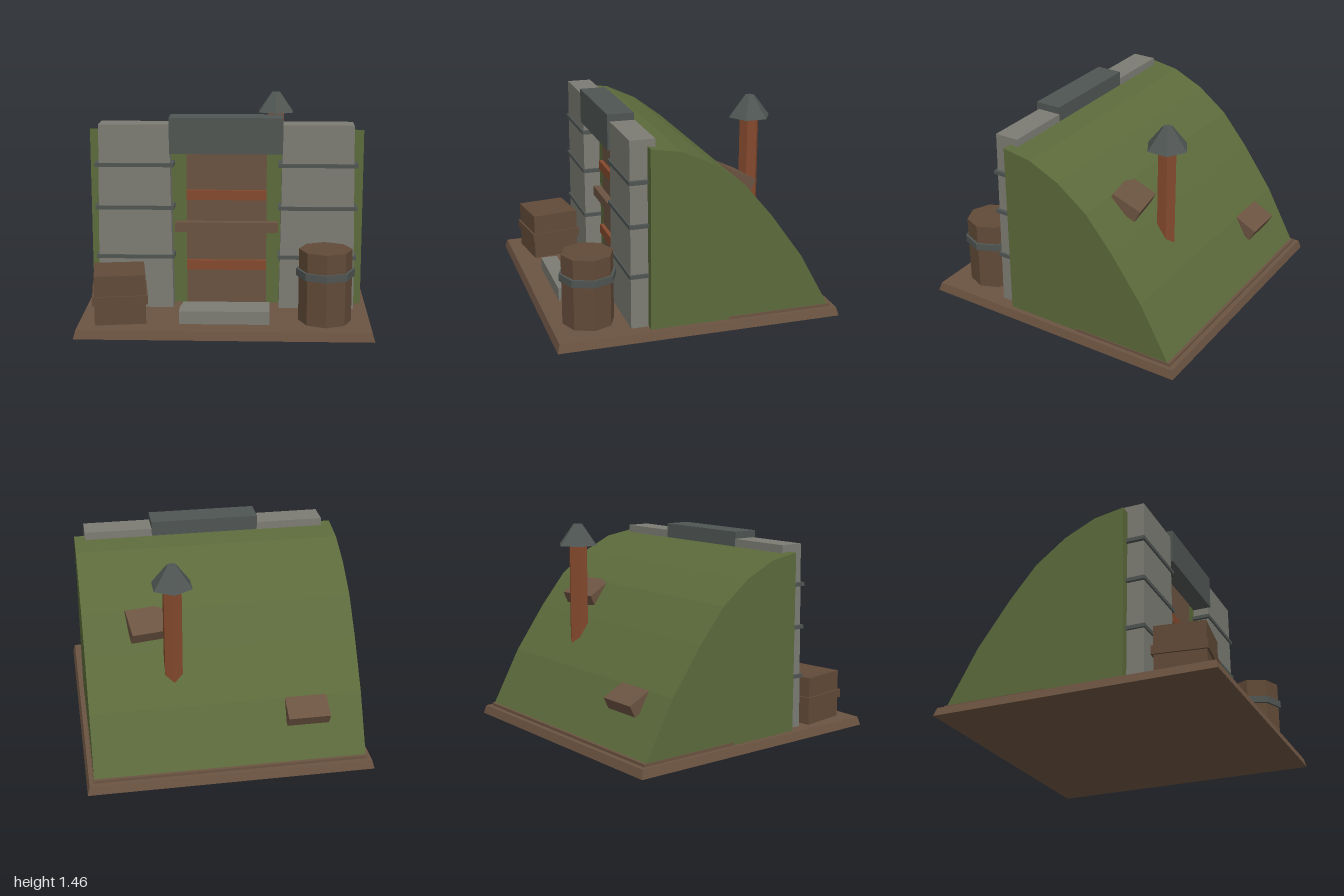
import * as THREE from 'three';

const mat = (name, color) => {
  const m = new THREE.MeshStandardMaterial({ color, flatShading: true });
  m.name = name;
  return m;
};

export function createModel() {
  const group = new THREE.Group();
  const earth = mat('earth brown', 0x6b5341);
  const wood = mat('dark wood', 0x614a37);
  const grass = mat('moss green', 0x5c6a3b);
  const concrete = mat('concrete grey', 0x7c7c74);
  const metal = mat('dark metal', 0x4f5552);
  const rust = mat('rust', 0x84492d);

  const add = (name, geo, material, x = 0, y = 0, z = 0) => {
    const mesh = new THREE.Mesh(geo, material);
    mesh.name = name;
    mesh.position.set(x, y, z);
    group.add(mesh);
    return mesh;
  };
  // Box given by its extents, with the top optionally narrowed
  const block = (name, material, [x0, x1], [y0, y1], [z0, z1], tx = 1, tz = 1) => {
    const geo = new THREE.BoxGeometry(x1 - x0, y1 - y0, z1 - z0);
    const p = geo.attributes.position;
    for (let i = 0; i < p.count; i++) {
      if (p.getY(i) > 0) p.setXYZ(i, p.getX(i) * tx, p.getY(i), p.getZ(i) * tz);
    }
    geo.computeVertexNormals();
    return add(name, geo, material, (x0 + x1) / 2, (y0 + y1) / 2, (z0 + z1) / 2);
  };

  // Ground slab and the low lip behind the mound
  block('base', earth, [-1, 1], [0, 0.06], [-1, 1], 0.984, 0.984);
  block('rearLip', earth, [-0.955, 0.955], [0.06, 0.08], [-0.95, -0.2]);

  // Grassy mound: side profile (z, y) swept across x
  const profile = [[0.353, 0.06], [0.353, 1.313], [0.139, 1.278], [-0.08, 1.175], [-0.295, 1.013],
    [-0.487, 0.784], [-0.717, 0.465], [-0.94, 0.06]];
  const shape = new THREE.Shape(profile.map(([z, y]) => new THREE.Vector2(-z, y)));
  const moundGeo = new THREE.ExtrudeGeometry(shape, { depth: 1.9, bevelEnabled: false });
  moundGeo.translate(0, 0, -0.95);
  moundGeo.rotateY(Math.PI / 2);
  add('mound', moundGeo, grass);

  // Boarded doorway
  block('door', earth, [-0.28, 0.28], [0.06, 1.2], [0.33, 0.356]);
  for (const y of [0.345, 0.85]) {
    block('rustyBoard', rust, [-0.28, 0.28], [y - 0.034, y + 0.034], [0.34, 0.385]);
  }
  block('middleBoard', earth, [-0.36, 0.36], [0.59, 0.66], [0.34, 0.41]);

  // Concrete pillars with metal bands, and the lintel
  for (const s of [-1, 1]) {
    const cx = s * 0.632;
    block('pillar', concrete, [cx - 0.262, cx + 0.262], [0.06, 1.36], [0.295, 0.475], 0.925, 0.97);
    for (const y of [0.43, 0.78, 1.08]) {
      block('pillarBand', metal, [cx - 0.272, cx + 0.272], [y - 0.013, y + 0.013], [0.35, 0.485]);
    }
  }
  block('lintel', metal, [-0.39, 0.39], [1.16, 1.41], [0.3, 0.49]);

  // Steps leading down to the doorway, with dark gaps between
  [[0.42, 0.54, 0.085], [0.57, 0.69, 0.118], [0.72, 0.84, 0.15]].forEach(([z0, z1, y]) => {
    block('step', concrete, [-0.305, 0.305], [0.06, y], [z0, z1]);
  });
  for (const z of [0.54, 0.69]) {
    block('stepGap', metal, [-0.305, 0.305], [0.06, 0.078], [z, z + 0.03]);
  }

  // Crate with a batten around it
  for (const [name, w, y0, y1] of [['crate', 0.345, 0.06, 0.4], ['crateBatten', 0.372, 0.2, 0.26]]) {
    const h = w / 2;
    block(name, wood, [-0.72 - h, -0.72 + h], [y0, y1], [0.695 - h, 0.695 + h]).rotation.y = 0.135;
  }

  // Eight-sided barrel with a hoop
  add('barrel', new THREE.CylinderGeometry(0.18, 0.18, 0.5, 8), wood, 0.68, 0.31, 0.717);
  add('barrelHoop', new THREE.CylinderGeometry(0.198, 0.198, 0.05, 8), metal, 0.68, 0.4, 0.717);

  // Chimney pipe and cap
  add('chimneyPipe', new THREE.CylinderGeometry(0.07, 0.07, 0.81, 6), rust, 0.35, 0.905, -0.55);
  add('chimneyCap', new THREE.CylinderGeometry(0.035, 0.15, 0.15, 6), metal, 0.35, 1.387, -0.55);

  // Blocks half buried in the rear slope
  const lower = add('buriedBlock', new THREE.BoxGeometry(0.295, 0.09, 0.19), earth, -0.553, 0.391, -0.766);
  lower.rotation.x = -0.48;
  const upper = add('buriedBlock', new THREE.BoxGeometry(0.29, 0.09, 0.22), earth, 0.495, 0.938, -0.365);
  upper.rotation.set(-0.46, 0.17, 0, 'YXZ');

  return group;
}
